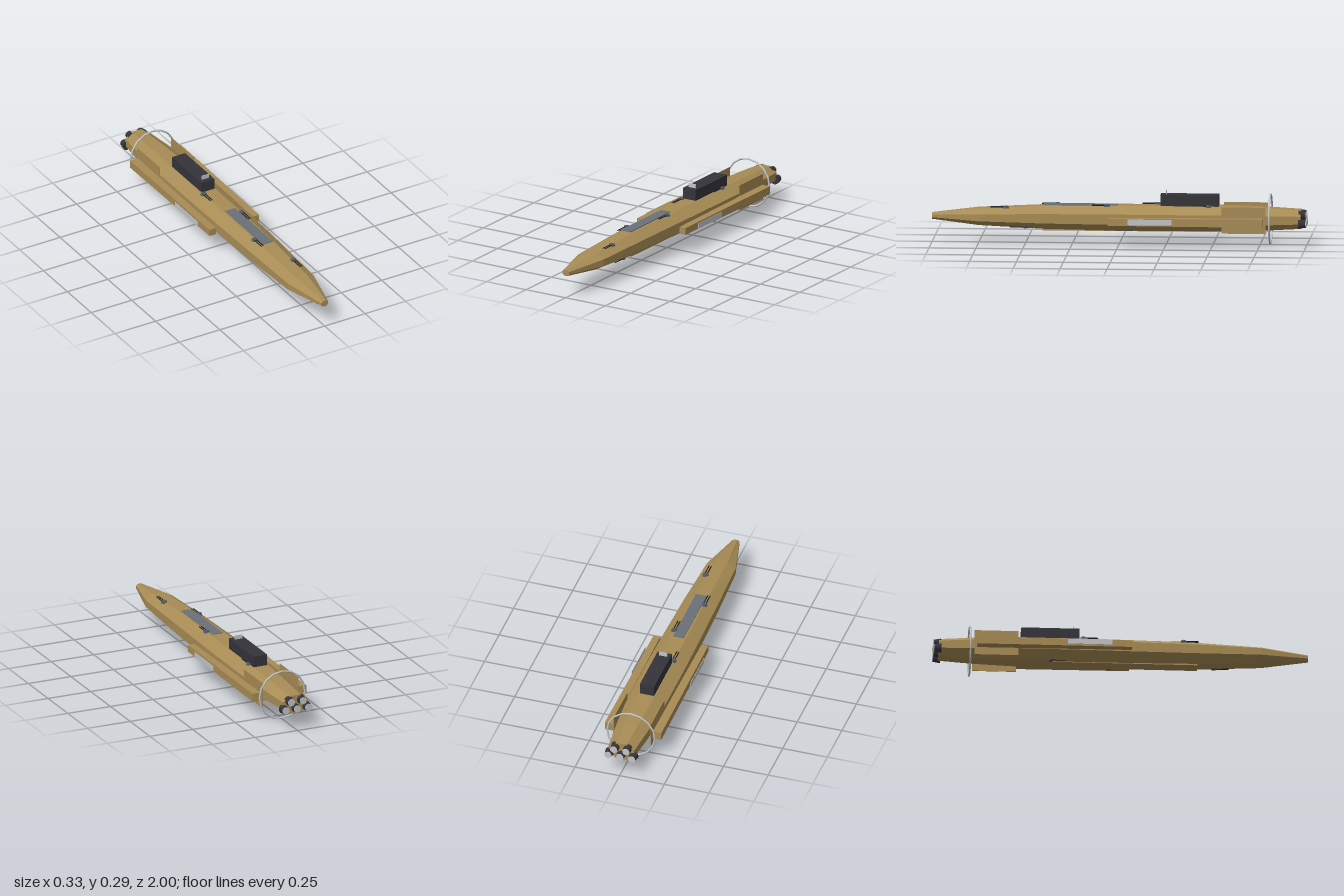
import * as THREE from 'three';

const mat = (name, color) => {
  const m = new THREE.MeshStandardMaterial({ color });
  m.name = name;
  return m;
};

// Skin a closed skin over equally sized cross-sections, with capped ends and flat faces
function loft(sections) {
  const n = sections[0].length, pos = sections.flat(2), idx = [];
  for (let s = 0; s < sections.length - 1; s++) {
    for (let i = 0; i < n; i++) {
      const j = (i + 1) % n, a = s * n + i, b = s * n + j, c = a + n, d = b + n;
      idx.push(a, b, d, a, d, c);
    }
  }
  const last = (sections.length - 1) * n;
  for (let i = 1; i < n - 1; i++) {
    idx.push(0, i + 1, i, last, last + i, last + i + 1);
  }
  const indexed = new THREE.BufferGeometry();
  indexed.setAttribute('position', new THREE.Float32BufferAttribute(pos, 3));
  indexed.setIndex(idx);
  const g = indexed.toNonIndexed();
  g.computeVertexNormals();
  return g;
}

export function createModel() {
  const root = new THREE.Group();
  const tan = mat('tanHull', 0xa88c55);
  const dark = mat('darkMetal', 0x35343b);
  const steel = mat('steelPanel', 0x6b707a);
  const gun = mat('turretSteel', 0x505866);
  const pale = mat('paleMetal', 0xc2c5ca);
  const black = mat('blackBarrel', 0x1f2024);

  const add = (name, geo, material, x = 0, y = 0, z = 0, parent = root) => {
    const m = new THREE.Mesh(geo, material);
    m.name = name;
    m.position.set(x, y, z);
    parent.add(m);
    return m;
  };
  const box = (name, material, w, h, d, x, y, z) =>
    add(name, new THREE.BoxGeometry(w, h, d), material, x, y, z);

  // Octagonal hull: z, half width, half height, from tail to nose
  const CY = 0.14, T = Math.tan(Math.PI / 8);
  const stations = [
    [-0.97, 0.072, 0.05], [-0.8, 0.088, 0.059], [-0.55, 0.105, 0.066], [-0.2, 0.105, 0.067],
    [0.05, 0.101, 0.066], [0.4, 0.093, 0.061], [0.75, 0.08, 0.045], [1, 0.021, 0.017],
  ];
  const octagon = ([z, w, h]) => [
    [1, T], [T, 1], [-T, 1], [-1, T], [-1, -T], [-T, -1], [T, -1], [1, -T],
  ].map(([u, v]) => [u * w, CY + v * h, z]);
  add('hull', loft(stations.map(octagon)), tan);

  // Half height of the hull at a given z
  const halfHeight = (z) => {
    const i = stations.findIndex((s, k) => k > 0 && s[0] >= z);
    const a = stations[i - 1], b = stations[i];
    return THREE.MathUtils.lerp(a[2], b[2], (z - a[0]) / (b[0] - a[0]));
  };

  // Side pods, stabiliser plates and pod panels
  const podEnd = (x, w, h, z) => [[w, -h], [w, h], [-w, h], [-w, -h]].map(([u, v]) => [x + u, 0.133 + v, z]);
  for (const s of [1, -1]) {
    const side = s > 0 ? 'left' : 'right';
    add(side + 'Pod', loft([podEnd(s * 0.134, 0.024, 0.022, -0.77), podEnd(s * 0.134, 0.019, 0.019, 0.055)]), tan);
    box(side + 'StabiliserPlate', tan, 0.004, 0.141, 0.235, s * 0.104, 0.1415, -0.667);
    box(side + 'PodPanel', pale, 0.002, 0.03, 0.235, s * 0.164, 0.135, -0.17);
  }

  // Dorsal housing with its sensor plate, deck panel and keel
  box('dorsalHousing', dark, 0.08, 0.067, 0.31, 0, 0.2325, -0.375);
  box('sensorPlate', pale, 0.045, 0.024, 0.004, 0, 0.276, -0.25);
  box('deckPanel', steel, 0.06, 0.004, 0.395, 0, 0.207, 0.207);
  box('keelPlate', tan, 0.072, 0.008, 0.78, 0, 0.074, 0.02);

  // Twin-barrel turrets, alternating on top and underneath
  const baseGeo = new THREE.CylinderGeometry(0.014, 0.018, 0.012, 8).toNonIndexed();
  baseGeo.computeVertexNormals();
  const barrelGeo = new THREE.CylinderGeometry(0.0028, 0.0028, 0.08, 6).rotateX(Math.PI / 2);
  const turret = (name, x, z, up, lift) => {
    const t = new THREE.Group();
    t.name = name;
    t.position.set(x, CY + up * (halfHeight(z) + lift), z);
    if (up < 0) t.rotation.z = Math.PI;
    add('turretBase', baseGeo, gun, 0, 0, 0, t);
    for (const bx of [-0.006, 0.006]) add('barrel', barrelGeo, black, bx, 0.001, 0.04, t);
    root.add(t);
  };
  [[0.04, -0.475], [-0.04, -0.2], [0.04, 0.065], [-0.04, 0.335], [0.04, 0.605]]
    .forEach(([x, z]) => turret('topTurret', x, z, 1, 0.002));
  [[0.04, 0.5], [0.04, -0.06], [-0.04, -0.37]]
    .forEach(([x, z]) => turret('bottomTurret', x, z, -1, -0.005));

  // Ring around the tail
  add('tailRing', new THREE.TorusGeometry(0.133, 0.005, 8, 16), pale, 0, 0.138, -0.805);

  // Engine cluster: two above three, flaring towards the rear
  const nozzleGeo = new THREE.CylinderGeometry(0.019, 0.026, 0.04, 10).rotateX(-Math.PI / 2);
  const glowGeo = new THREE.CylinderGeometry(0.02, 0.02, 0.004, 10).rotateX(Math.PI / 2);
  [[-0.034, 0.163], [0.034, 0.163], [-0.066, 0.121], [0, 0.121], [0.066, 0.121]].forEach(([x, y]) => {
    add('engineNozzle', nozzleGeo, dark, x, y, -0.978);
    add('engineExhaust', glowGeo, pale, x, y, -0.998);
  });

  return root;
}
